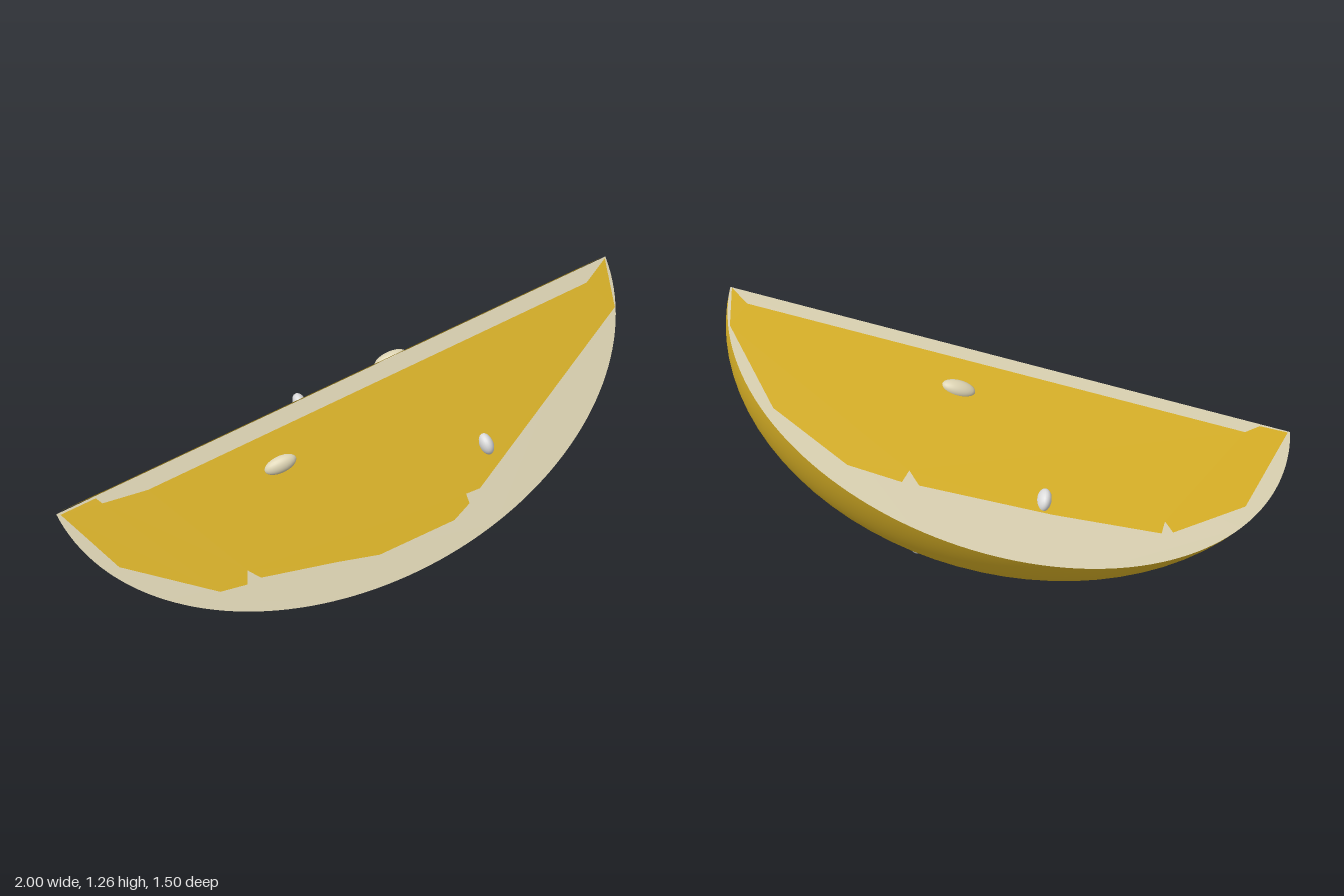
import * as THREE from 'three';

const HALF = 1.174;   // half length of the wedge's straight edge
const R = 0.838;      // depth of the wedge
const ANGLE = 1.351;  // opening angle between the two cut faces

const material = (name, color, side = THREE.FrontSide) => {
  const m = new THREE.MeshStandardMaterial({ color, side });
  m.name = name;
  return m;
};

export function createModel() {
  const yellow = material('lemonYellow', 0xd9b126, THREE.DoubleSide);
  const cream = material('pithCream', 0xdbd2b2, THREE.DoubleSide);
  const white = material('seedWhite', 0xdcdcdc);

  const model = new THREE.Group();
  model.name = 'citrusWedge';

  // Local frame: x along the straight edge, y across the upper cut, z out of it
  const wedge = new THREE.Group();
  wedge.name = 'wedge';
  const u = new THREE.Vector3(0.796, 0.324, 0.511).normalize();
  const d = new THREE.Vector3(0.6, -0.536, -0.594);
  d.addScaledVector(u, -d.dot(u)).normalize();
  const n = new THREE.Vector3().crossVectors(u, d);
  wedge.quaternion.setFromRotationMatrix(new THREE.Matrix4().makeBasis(u, d, n));
  wedge.position.set(-0.065, 0.87, 0.03);
  model.add(wedge);

  // Rind: part of an ellipsoid swept between the two cuts
  const profile = [];
  for (let i = 0; i <= 40; i++) {
    const t = -Math.PI / 2 + (Math.PI * i) / 40;
    profile.push(new THREE.Vector2(Math.max(R * Math.cos(t), 0), HALF * Math.sin(t)));
  }
  const rindGeometry = new THREE.LatheGeometry(profile, 28, 0, ANGLE);
  rindGeometry.applyMatrix4(new THREE.Matrix4().makeBasis(
    new THREE.Vector3(0, 0, -1), new THREE.Vector3(-1, 0, 0), new THREE.Vector3(0, 1, 0)));
  const rind = new THREE.Mesh(rindGeometry, yellow);
  rind.name = 'rind';
  wedge.add(rind);

  // Cut faces: a half ellipse of pith with an irregular sheet of flesh on it
  const pithShape = new THREE.Shape();
  pithShape.absellipse(0, 0, HALF, R, 0, Math.PI, false);
  const pithGeometry = new THREE.ShapeGeometry(pithShape, 40);

  const addCut = (name, angle, lift, outline) => {
    const cut = new THREE.Group();
    cut.name = name;
    cut.rotation.x = -angle;
    const pith = new THREE.Mesh(pithGeometry, cream);
    pith.name = 'pith';
    const shape = new THREE.Shape(outline.map(([x, y]) => new THREE.Vector2(x, y)));
    const flesh = new THREE.Mesh(new THREE.ShapeGeometry(shape), yellow);
    flesh.name = 'flesh';
    flesh.position.z = lift;
    cut.add(pith, flesh);
    wedge.add(cut);
  };

  addCut('upperCut', 0, 0.004, [
    [-1.16, 0.008], [-1.03, 0.012], [-0.963, 0.058], [1.1, 0.055], [1.168, 0.005],
    [1.145, 0.165], [0.932, 0.457], [0.633, 0.613], [0.425, 0.631], [0.404, 0.578],
    [0.36, 0.629], [-0.16, 0.623], [-0.61, 0.596], [-0.622, 0.542], [-0.658, 0.581],
    [-0.968, 0.395],
  ]);
  addCut('frontCut', ANGLE, -0.004, [
    [-1.16, 0.008], [-1.014, 0.008], [-1.0, 0.037], [-0.823, 0.065], [1.065, 0.062],
    [1.168, 0.005], [1.135, 0.2], [0.356, 0.635], [0.296, 0.631], [0.293, 0.673],
    [0.211, 0.709], [-0.118, 0.704], [-0.283, 0.655], [-0.58, 0.577], [-0.616, 0.525],
    [-0.64, 0.578], [-0.747, 0.557], [-1.052, 0.292],
  ]);

  // Seeds: small ellipsoids half sunk into the cuts and the rind
  const seedGeometry = new THREE.SphereGeometry(1, 20, 14);
  const long = [0.068, 0.034, 0.028];
  const flat = [0.028, 0.046, 0.043];
  const seeds = [
    [0, 0.258, 0.186, long, cream],
    [0, -0.124, 0.57, flat, white],
    [ANGLE, -0.324, 0.197, long, cream],
    [ANGLE, 0.449, 0.48, flat, white],
    [0.808, 0.197, 0.84, [0.034, 0.047, 0.048], white],
  ];
  for (const [angle, along, out, size, mat] of seeds) {
    const seed = new THREE.Mesh(seedGeometry, mat);
    seed.name = 'seed';
    seed.position.set(along, out * Math.cos(angle), -out * Math.sin(angle));
    seed.rotation.x = -angle;
    seed.scale.set(...size);
    wedge.add(seed);
  }

  return model;
}
